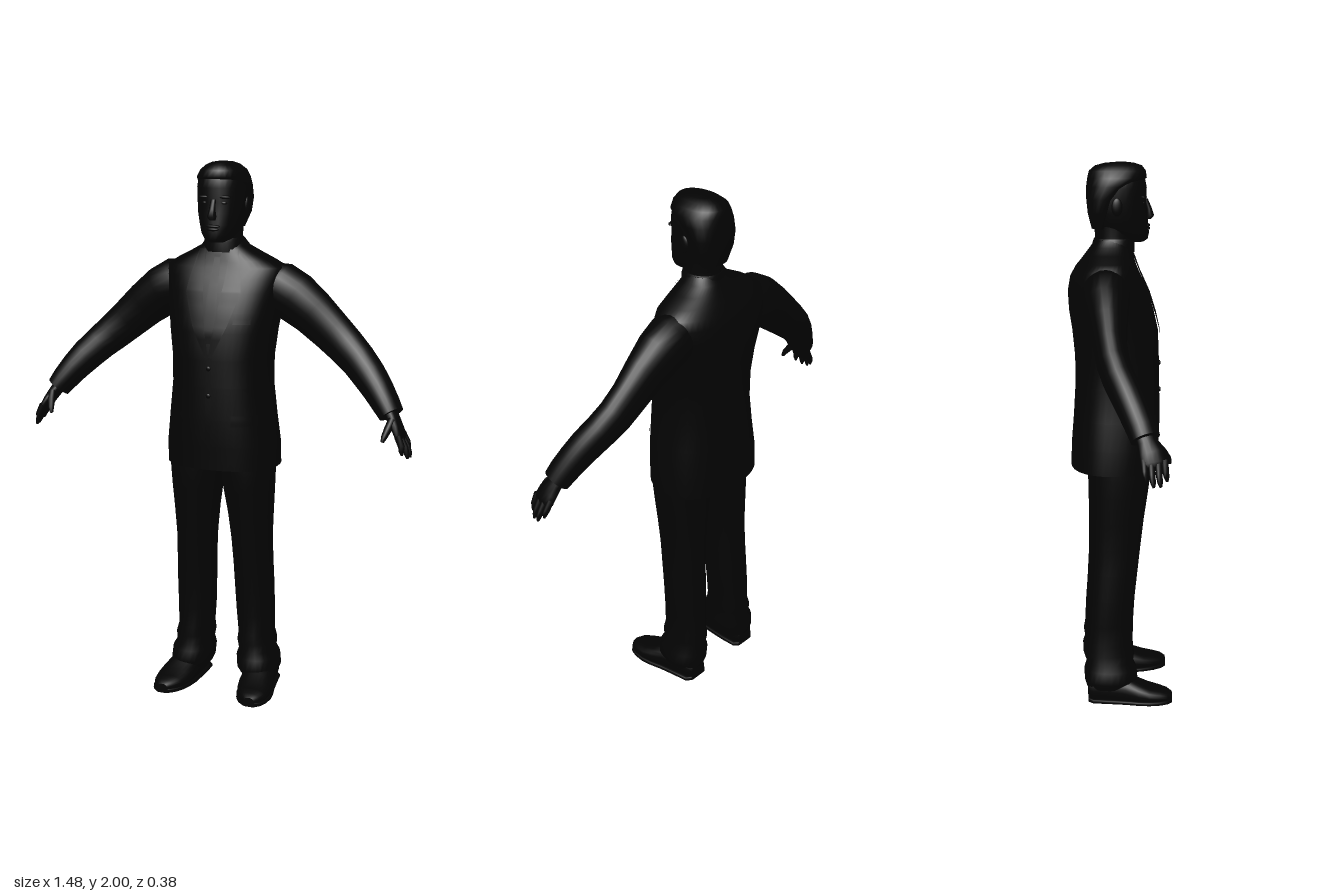
import * as THREE from 'three';

const black = new THREE.MeshStandardMaterial({ color: 0x030303 });
black.name = 'near black';
const V = (x, y, z) => new THREE.Vector3(x, y, z);
const X = V(1, 0, 0), Y = V(0, 1, 0), Z = V(0, 0, 1);

function mesh(name, pos, index) {
  const g = new THREE.BufferGeometry();
  g.setAttribute('position', new THREE.Float32BufferAttribute(pos, 3));
  g.setIndex(index);
  g.computeVertexNormals();
  const m = new THREE.Mesh(g, black);
  m.name = name;
  return m;
}

// Skin over rounded sections [x, y, z, radiusAlongRef, radiusAcross]; a fixed tangent keeps rings parallel
function loft(name, rows, { ref = X, tangent = null, sides = 28, power = 2, floor = -9 } = {}) {
  const pos = [], idx = [], n = rows.length;
  const pts = rows.map(r => V(r[0], r[1], r[2]));
  const sp = v => Math.sign(v) * Math.abs(v) ** (2 / power);
  const ring = i => {
    const t = tangent || pts[Math.min(i + 1, n - 1)].clone().sub(pts[Math.max(i - 1, 0)]).normalize();
    const u = ref.clone().addScaledVector(t, -t.dot(ref)).normalize();
    const v = t.clone().cross(u);
    for (let j = 0; j < sides; j++) {
      const a = j / sides * Math.PI * 2;
      const p = pts[i].clone().addScaledVector(u, rows[i][3] * sp(Math.cos(a)))
        .addScaledVector(v, rows[i][4] * sp(Math.sin(a)));
      pos.push(p.x, Math.max(p.y, floor), p.z);
    }
  };
  for (let i = 0; i < n; i++) ring(i);
  for (let i = 0; i < n - 1; i++) for (let j = 0; j < sides; j++) {
    const a = i * sides + j, b = i * sides + (j + 1) % sides;
    idx.push(a, b, b + sides, a, b + sides, a + sides);
  }
  for (const end of [0, n - 1]) {
    const s = pos.length / 3;
    ring(end);
    pos.push(pts[end].x, Math.max(pts[end].y, floor), pts[end].z);
    for (let j = 0; j < sides; j++) {
      const a = s + j, b = s + (j + 1) % sides;
      idx.push(s + sides, ...(end ? [a, b] : [b, a]));
    }
  }
  return mesh(name, pos, idx);
}

// Upright body parts from rows [y, xMin, xMax, zFront, zBack]
const upright = (name, rows, s = 1, opt = {}) => loft(name,
  rows.map(([y, a, b, f, k]) => [s * (a + b) / 2, y, (f + k) / 2, (b - a) / 2, (f - k) / 2]),
  { tangent: Y, ...opt });
// Same, centred on x = 0: [y, halfWidth, zFront, zBack]
const centred = (name, rows, opt) => upright(name, rows.map(([y, w, f, k]) => [y, -w, w, f, k]), 1, opt);

const jacketRows = [
  [0.89, 0.214, 0.138, -0.183], [0.98, 0.212, 0.142, -0.18], [1.08, 0.2, 0.146, -0.172],
  [1.2, 0.187, 0.144, -0.165], [1.3, 0.188, 0.142, -0.166], [1.4, 0.2, 0.138, -0.176],
  [1.47, 0.21, 0.122, -0.187], [1.54, 0.222, 0.1, -0.191], [1.59, 0.23, 0.078, -0.182],
  [1.625, 0.226, 0.062, -0.163], [1.65, 0.185, 0.053, -0.143], [1.675, 0.135, 0.046, -0.125],
  [1.7, 0.088, 0.038, -0.107], [1.725, 0.07, 0.03, -0.09]];
const POWER = 2.35;

// Height of the jacket's front surface
function frontZ(x, y) {
  let i = 0;
  while (i < jacketRows.length - 2 && jacketRows[i + 1][0] < y) i++;
  const A = jacketRows[i], B = jacketRows[i + 1], k = (y - A[0]) / (B[0] - A[0]);
  const [, w, f, b] = A.map((v, j) => v + (B[j] - v) * k);
  return (f + b) / 2 + (f - b) / 2 * Math.max(0, 1 - (Math.abs(x) / w) ** POWER) ** (1 / POWER);
}

// Thin panel lying on the jacket front, rows [y, xa, xb] from top to bottom
function panel(name, rows, s = 1, lift = 0.005) {
  const pos = [], idx = [], cols = 6, steps = 5, last = (rows.length - 1) * steps;
  for (let r = 0; r <= last; r++) {
    const i = Math.min(Math.floor(r / steps), rows.length - 2), k = r / steps - i;
    const [y, p, q] = rows[i].map((v, j) => v + (rows[i + 1][j] - v) * k);
    const a = Math.min(s * p, s * q), b = Math.max(s * p, s * q);
    for (let c = 0; c <= cols; c++) {
      const x = a + (b - a) * c / cols;
      pos.push(x, y, frontZ(x, y) + lift);
      if (r < last && c < cols) {
        const m = r * (cols + 1) + c, d = m + cols + 1;
        idx.push(m, d, d + 1, m, d + 1, m + 1);
      }
    }
  }
  return mesh(name, pos, idx);
}

function ball(name, x, y, z, sx, sy, sz) {
  const m = new THREE.Mesh(new THREE.SphereGeometry(1, 16, 12), black);
  m.name = name;
  m.position.set(x, y, z);
  m.scale.set(sx, sy, sz);
  return m;
}

function createHead() {
  const g = new THREE.Group();
  g.name = 'head';
  g.add(
    centred('neck', [[1.64, 0.075, 0.04, -0.1], [1.7, 0.068, 0.046, -0.093], [1.74, 0.066, 0.05, -0.09], [1.8, 0.07, 0.05, -0.1]]),
    centred('face', [[1.717, 0.026, 0.085, 0.02], [1.727, 0.046, 0.1, -0.01], [1.75, 0.064, 0.105, -0.06],
      [1.78, 0.077, 0.101, -0.1], [1.82, 0.086, 0.099, -0.113], [1.86, 0.09, 0.094, -0.117],
      [1.91, 0.091, 0.096, -0.117], [1.95, 0.085, 0.088, -0.11], [1.98, 0.06, 0.06, -0.085]], { power: 2.2 }),
    centred('hair', [[1.765, 0.058, -0.04, -0.103], [1.82, 0.084, -0.02, -0.117], [1.87, 0.094, 0, -0.122],
      [1.915, 0.096, 0.055, -0.122], [1.945, 0.093, 0.096, -0.118], [1.97, 0.079, 0.092, -0.112],
      [1.988, 0.056, 0.078, -0.09], [1.997, 0.036, 0.05, -0.055], [2, 0.016, 0.025, -0.02]], { power: 2.2 }),
    loft('nose', [[0, 1.87, 0.092, 0.01, 0.008], [0, 1.835, 0.104, 0.012, 0.011],
      [0, 1.81, 0.109, 0.018, 0.014], [0, 1.798, 0.102, 0.012, 0.01]], { tangent: V(0, -1, 0), sides: 12 }),
    ball('upperLip', 0, 1.776, 0.098, 0.028, 0.006, 0.011),
    ball('lowerLip', 0, 1.765, 0.098, 0.024, 0.007, 0.011));
  for (const s of [1, -1]) g.add(
    ball('ear', s * 0.09, 1.845, -0.015, 0.009, 0.032, 0.02),
    ball('eye', s * 0.035, 1.857, 0.078, 0.014, 0.008, 0.012),
    ball('brow', s * 0.037, 1.878, 0.08, 0.026, 0.007, 0.014));
  return g;
}

function createArm(s) {
  const g = new THREE.Group();
  g.name = s > 0 ? 'leftArm' : 'rightArm';
  const limb = (name, rows, sides = 10) =>
    loft(name, rows.map(([x, ...r]) => [s * x, ...r]), { ref: Z, sides });
  g.add(
    limb('sleeve', [[0.13, 1.575, -0.06, 0.07, 0.07], [0.2, 1.548, -0.06, 0.086, 0.096], [0.26, 1.515, -0.059, 0.081, 0.094],
      [0.33, 1.463, -0.056, 0.068, 0.085], [0.4, 1.402, -0.052, 0.058, 0.077], [0.46, 1.35, -0.043, 0.057, 0.071],
      [0.51, 1.307, -0.026, 0.057, 0.066], [0.56, 1.258, 0, 0.057, 0.062], [0.6, 1.213, 0.022, 0.055, 0.056],
      [0.635, 1.168, 0.042, 0.053, 0.05], [0.657, 1.137, 0.053, 0.05, 0.045]], 24),
    limb('palm', [[0.64, 1.16, 0.044, 0.034, 0.026], [0.665, 1.125, 0.058, 0.034, 0.023],
      [0.684, 1.095, 0.07, 0.042, 0.02], [0.699, 1.066, 0.077, 0.044, 0.018], [0.704, 1.053, 0.079, 0.036, 0.012]], 16),
    limb('thumb', [[0.668, 1.125, 0.085, 0.014, 0.014], [0.66, 1.095, 0.11, 0.014, 0.014],
      [0.652, 1.07, 0.128, 0.011, 0.011], [0.647, 1.053, 0.135, 0.006, 0.006]]));
  // Four fingers fanned from back to front
  [[0.045, 0.725, 1.012], [0.068, 0.735, 0.993], [0.091, 0.731, 0.993], [0.113, 0.716, 1.008]].forEach(([z, x, y]) =>
    g.add(limb('finger', [[0.696, 1.075, z, 0.012, 0.013], [(0.708 + x) / 2, (1.07 + y) / 2, z + 0.003, 0.011, 0.012],
      [x - 0.003, y + 0.014, z + 0.006, 0.009, 0.009], [x, y, z + 0.008, 0.004, 0.004]])));
  return g;
}

function createLeg(s) {
  const g = new THREE.Group();
  g.name = s > 0 ? 'leftLeg' : 'rightLeg';
  g.add(upright('trouserLeg', [[0.055, 0.068, 0.207, 0.045, -0.132], [0.08, 0.056, 0.218, 0.06, -0.14],
    [0.125, 0.052, 0.213, 0.056, -0.141], [0.15, 0.06, 0.198, 0.044, -0.133], [0.185, 0.054, 0.2, 0.048, -0.138],
    [0.22, 0.058, 0.19, 0.042, -0.132], [0.3, 0.051, 0.191, 0.043, -0.129], [0.4, 0.046, 0.191, 0.049, -0.122],
    [0.5, 0.043, 0.188, 0.06, -0.117], [0.6, 0.037, 0.186, 0.071, -0.115], [0.7, 0.026, 0.191, 0.083, -0.116],
    [0.8, 0.01, 0.197, 0.098, -0.118], [0.87, 0.001, 0.2, 0.108, -0.122], [0.95, -0.01, 0.2, 0.11, -0.13]], s, { power: 2.2 }));
  const shoe = [[0.142, 0.04, -0.127, 0.035, 0.03], [0.143, 0.05, -0.11, 0.052, 0.055], [0.146, 0.05, -0.05, 0.058, 0.06],
    [0.152, 0.045, 0.01, 0.062, 0.056], [0.159, 0.036, 0.06, 0.067, 0.045], [0.165, 0.03, 0.1, 0.066, 0.034],
    [0.17, 0.026, 0.14, 0.057, 0.028], [0.174, 0.023, 0.17, 0.042, 0.024], [0.176, 0.021, 0.188, 0.02, 0.015]];
  g.add(
    loft('shoe', shoe.map(([x, ...r]) => [s * x, ...r]), { tangent: Z, power: 2.3, floor: 0.004 }),
    loft('sole', shoe.map(([x, , z, a]) => [s * x, 0.009, z, a + 0.004, 0.009]), { tangent: Z, power: 5, floor: 0 }));
  return g;
}

export function createModel() {
  const model = new THREE.Group();
  model.name = 'suitedMan';
  model.add(
    createHead(),
    centred('jacket', jacketRows, { power: POWER, sides: 48 }),
    centred('shirtCollar', [[1.68, 0.085, 0.052, -0.106], [1.715, 0.076, 0.053, -0.1], [1.73, 0.069, 0.049, -0.095]]),
    panel('tie', [[1.69, -0.016, 0.016], [1.66, -0.011, 0.011], [1.42, -0.026, 0.026], [1.36, -0.012, 0.012]], 1, 0.004),
    panel('frontOverlap', [[1.32, -0.002, 0.012], [1.15, -0.012, 0.012], [0.93, -0.012, 0.004]], 1, 0.003),
    panel('breastPocket', [[1.45, 0.085, 0.145], [1.432, 0.085, 0.145]], 1, 0.004));
  for (const y of [1.27, 1.17]) model.add(ball('button', 0, y, frontZ(0, y) + 0.003, 0.009, 0.009, 0.004));
  for (const s of [1, -1]) {
    model.add(
      createArm(s), createLeg(s),
      panel('lapel', [[1.69, 0.045, 0.075], [1.58, 0.04, 0.1], [1.54, 0.035, 0.105], [1.42, 0.018, 0.065], [1.31, 0, 0.012]], s, 0.007),
      panel('pocketFlap', [[1.1, 0.085, 0.17], [1.06, 0.085, 0.172]], s));
  }
  return model;
}
